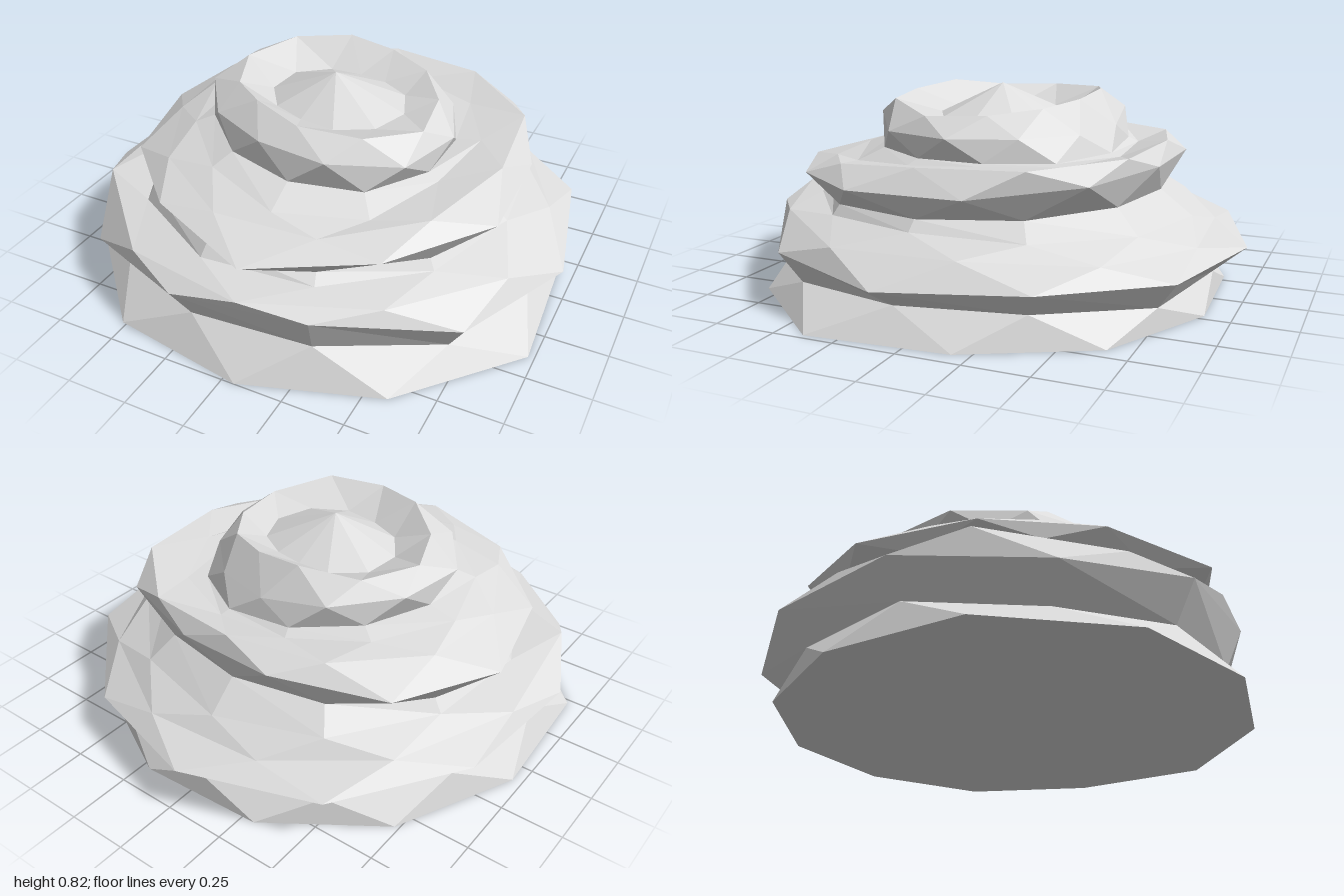
import * as THREE from 'three';

const SIDES = 11;

// One uneven loop: each corner has a radius and a height (a single number applies to all).
// turn: rotation in half sides, counted from the front towards +x
function ring(turn, radii, heights) {
  return Array.from({ length: SIDES }, (_, i) => {
    const a = 0.05 + ((i + turn / 2) / SIDES) * Math.PI * 2;
    const r = radii[i] ?? radii;
    return [r * Math.sin(a), heights[i] ?? heights, r * Math.cos(a)];
  });
}

// Triangulated skin through a series of loops
function skin(name, loops, material) {
  const pos = [];
  for (let k = 0; k < loops.length - 1; k++) {
    const lo = loops[k], up = loops[k + 1];
    for (let i = 0; i < SIDES; i++) {
      const j = (i + 1) % SIDES;
      pos.push(...lo[i], ...lo[j], ...up[i], ...up[i], ...lo[j], ...up[j]);
    }
  }
  return finish(name, pos, material);
}

// Triangle fan from a loop to a point
function fan(name, loop, tip, material, flip = false) {
  const pos = [];
  for (let i = 0; i < SIDES; i++) {
    const a = loop[i], b = loop[(i + 1) % SIDES];
    pos.push(...(flip ? b : a), ...(flip ? a : b), ...tip);
  }
  return finish(name, pos, material);
}

// Separate triangles keep every facet flat
function finish(name, pos, material) {
  const g = new THREE.BufferGeometry();
  g.setAttribute('position', new THREE.Float32BufferAttribute(pos, 3));
  g.computeVertexNormals();
  const mesh = new THREE.Mesh(g, material);
  mesh.name = name;
  return mesh;
}

export function createModel() {
  const model = new THREE.Group();
  model.name = 'layeredRock';
  const stone = new THREE.MeshStandardMaterial({ color: 0xdddddd });
  stone.name = 'stone grey';

  // Foot
  const base = ring(0, [1, 1.01, 1.05, 0.95, 0.95, 0.92, 0.92, 0.93, 0.965, 1.04, 1.04], 0);
  const foot = ring(1, [0.89, 0.91, 0.87, 0.87, 0.89, 0.87, 0.87, 0.88, 0.9, 0.92, 0.89],
    [0.15, 0.1, 0.12, 0.12, 0.09, 0.1, 0.11, 0.13, 0.15, 0.09, 0.14]);

  // Lower tier: overhanging lip, upper edge, sloping shelf
  const lowLip = ring(1, [0.96, 1, 1.01, 1, 0.98, 1, 1.01, 1, 1.01, 1.03, 0.985],
    [0.31, 0.23, 0.21, 0.23, 0.2, 0.21, 0.22, 0.25, 0.27, 0.21, 0.29]);
  const lowEdge = ring(2, [0.91, 0.92, 0.88, 0.89, 0.88, 0.87, 0.89, 0.93, 0.97, 0.96, 0.95],
    [0.33, 0.3, 0.31, 0.28, 0.26, 0.26, 0.29, 0.32, 0.36, 0.32, 0.345]);
  const lowShelf = ring(3, [0.78, 0.76, 0.8, 0.78, 0.78, 0.8, 0.79, 0.8, 0.82, 0.82, 0.8],
    [0.35, 0.36, 0.35, 0.33, 0.32, 0.34, 0.35, 0.36, 0.36, 0.36, 0.35]);

  // Middle tier
  const midNeck = ring(3, [0.75, 0.72, 0.7, 0.67, 0.65, 0.69, 0.75, 0.77, 0.79, 0.78, 0.75],
    [0.39, 0.4, 0.41, 0.42, 0.42, 0.41, 0.4, 0.4, 0.42, 0.41, 0.38]);
  const midLip = ring(4, [0.85, 0.79, 0.79, 0.71, 0.74, 0.84, 0.86, 0.84, 0.83, 0.92, 0.84],
    [0.5, 0.5, 0.54, 0.55, 0.55, 0.51, 0.47, 0.47, 0.49, 0.47, 0.48]);
  const midEdge = ring(5, [0.72, 0.76, 0.72, 0.67, 0.7, 0.73, 0.71, 0.72, 0.74, 0.73, 0.74],
    [0.59, 0.6, 0.61, 0.62, 0.6, 0.58, 0.55, 0.54, 0.52, 0.51, 0.55]);
  const midShelf = ring(6, [0.58, 0.58, 0.54, 0.54, 0.59, 0.64, 0.6, 0.6, 0.65, 0.63, 0.55],
    [0.58, 0.57, 0.57, 0.58, 0.6, 0.6, 0.59, 0.57, 0.54, 0.52, 0.55]);

  // Top tier with a hollow crown
  const topNeck = ring(6, [0.48, 0.5, 0.5, 0.5, 0.51, 0.52, 0.52, 0.51, 0.51, 0.52, 0.5],
    [0.57, 0.57, 0.58, 0.6, 0.62, 0.62, 0.62, 0.61, 0.59, 0.57, 0.57]);
  const topLip = ring(7, [0.46, 0.45, 0.46, 0.51, 0.54, 0.55, 0.51, 0.49, 0.53, 0.54, 0.51],
    [0.66, 0.66, 0.67, 0.71, 0.72, 0.71, 0.71, 0.71, 0.7, 0.66, 0.66]);
  const crest = ring(8, [0.37, 0.35, 0.38, 0.45, 0.46, 0.41, 0.39, 0.42, 0.47, 0.46, 0.4],
    [0.76, 0.78, 0.8, 0.78, 0.77, 0.77, 0.8, 0.78, 0.77, 0.73, 0.74]);
  const groove = ring(9, [0.22, 0.21, 0.25, 0.29, 0.29, 0.27, 0.25, 0.28, 0.3, 0.29, 0.26], 0.7);

  model.add(
    fan('underside', base, [0, 0, 0.05], stone, true),
    skin('foot', [base, foot], stone),
    skin('lowerTier', [foot, lowLip, lowEdge, lowShelf, midNeck], stone),
    skin('middleTier', [midNeck, midLip, midEdge, midShelf, topNeck], stone),
    skin('topTier', [topNeck, topLip, crest, groove], stone),
    fan('centrePeak', groove, [-0.01, 0.82, 0.03], stone),
  );
  return model;
}
